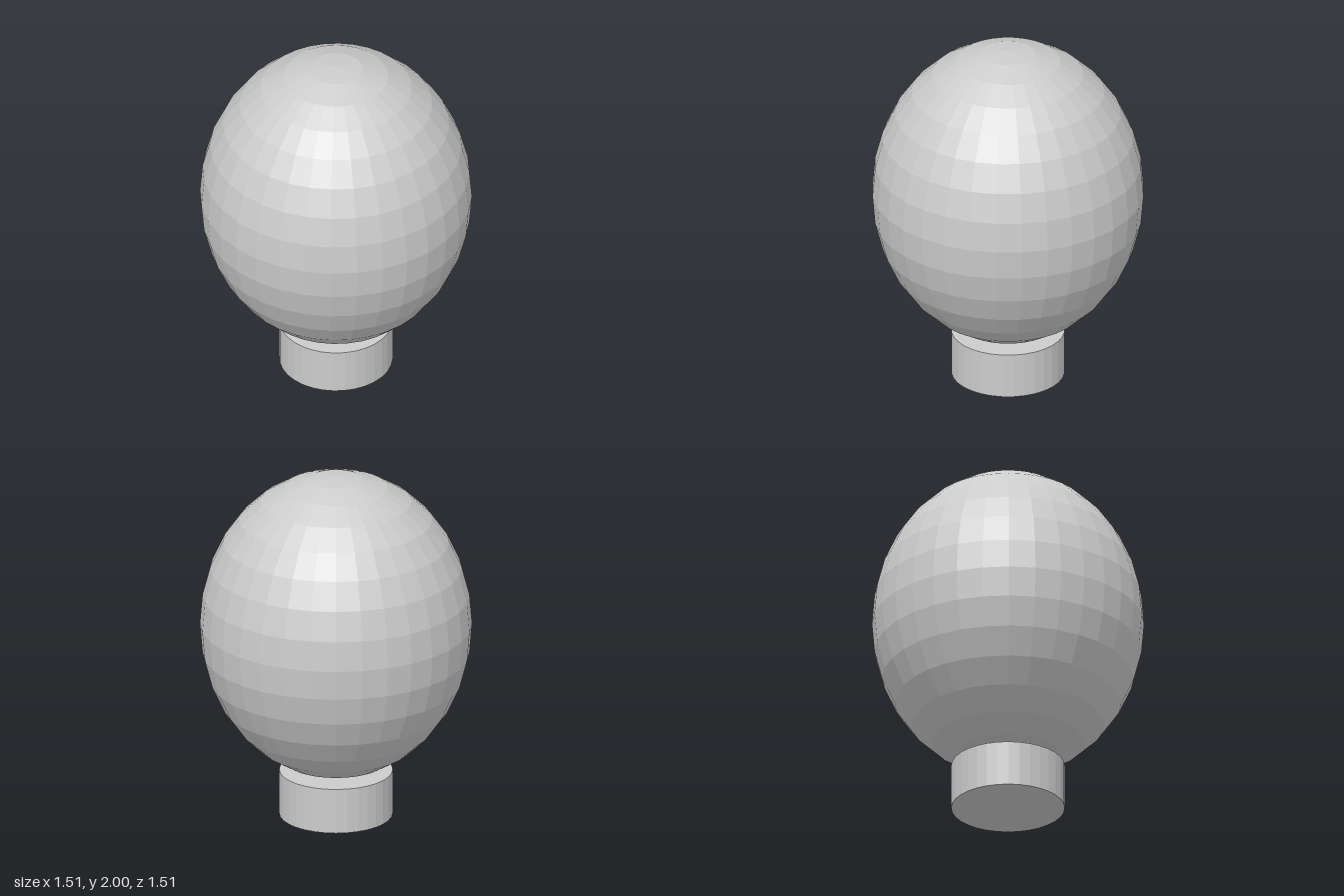
import * as THREE from 'three';

export function createModel() {
  const model = new THREE.Group();
  const material = new THREE.MeshStandardMaterial({ color: 0xcccccc, flatShading: true });
  const sides = 32;

  const add = (name, geometry, y) => {
    const mesh = new THREE.Mesh(geometry, material);
    mesh.name = name;
    mesh.position.y = y;
    model.add(mesh);
    return mesh;
  };

  // Short round foot
  const baseHeight = 0.26;
  add('base', new THREE.CylinderGeometry(0.315, 0.315, baseHeight, sides), baseHeight / 2);

  // Faceted ellipsoid, its lower pole sunk slightly into the base
  const globeHalfHeight = 0.874;
  const globe = new THREE.SphereGeometry(1, sides, 16).scale(0.755, globeHalfHeight, 0.755);
  add('globe', globe, 2 - globeHalfHeight);

  return model;
}
